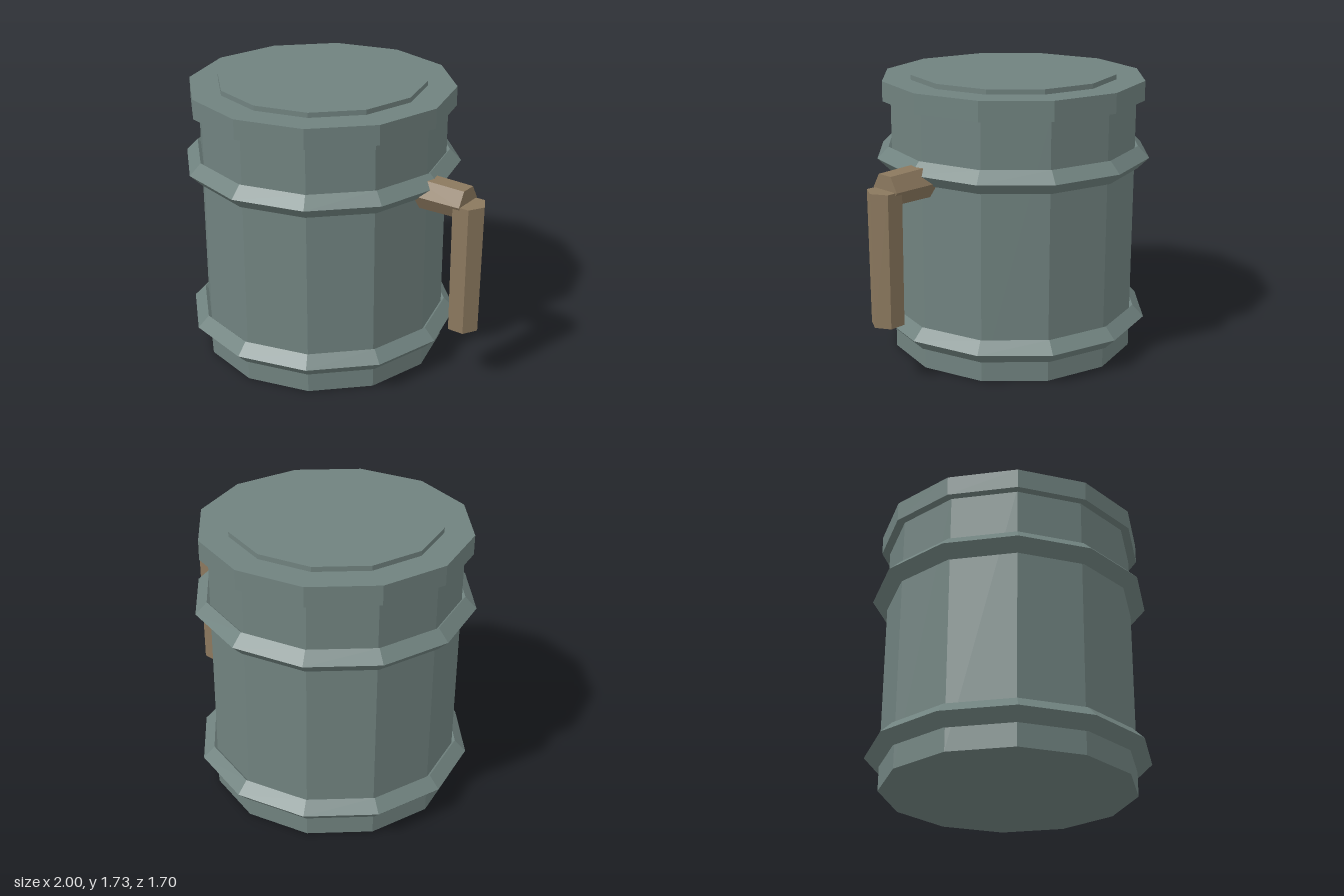
import * as THREE from 'three';

export function createModel() {
  const model = new THREE.Group();
  model.name = 'liddedTankard';

  const slate = new THREE.MeshStandardMaterial({ color: 0x70827f, flatShading: true });
  slate.name = 'slate green';
  const wood = new THREE.MeshStandardMaterial({ color: 0x8b785e, flatShading: true });
  wood.name = 'brown wood';

  const cx = -0.15; // axis of the vessel
  const sides = 12;

  function add(name, geometry, material, x, y) {
    const mesh = new THREE.Mesh(geometry, material);
    mesh.name = name;
    mesh.position.set(x, y, 0);
    model.add(mesh);
    return mesh;
  }

  // Upright drum between two heights
  function drum(name, radius, y0, y1) {
    add(name, new THREE.CylinderGeometry(radius, radius, y1 - y0, sides), slate, cx, (y0 + y1) / 2);
  }
  drum('body', 0.76, 0, 1.6);
  drum('lid', 0.81, 1.58, 1.7);
  drum('lidPanel', 0.635, 1.69, 1.73);

  // Diamond-section hoops around the body
  for (const [name, y] of [['lowerHoop', 0.2], ['upperHoop', 1.23]]) {
    const hoop = new THREE.TorusGeometry(0.78, 0.07, 4, sides).rotateX(Math.PI / 2);
    add(name, hoop, slate, cx, y);
  }

  // Handle: a hexagonal arm leaving the body and a hanging hexagonal grip
  const arm = new THREE.CylinderGeometry(0.1, 0.106, 0.34, 6).rotateZ(-Math.PI / 2);
  add('handleArm', arm, wood, 0.72, 1.18);
  const grip = new THREE.CylinderGeometry(0.105, 0.1, 0.805, 6).rotateY(Math.PI / 2);
  add('handleGrip', grip, wood, 0.895, 0.7775);

  return model;
}
